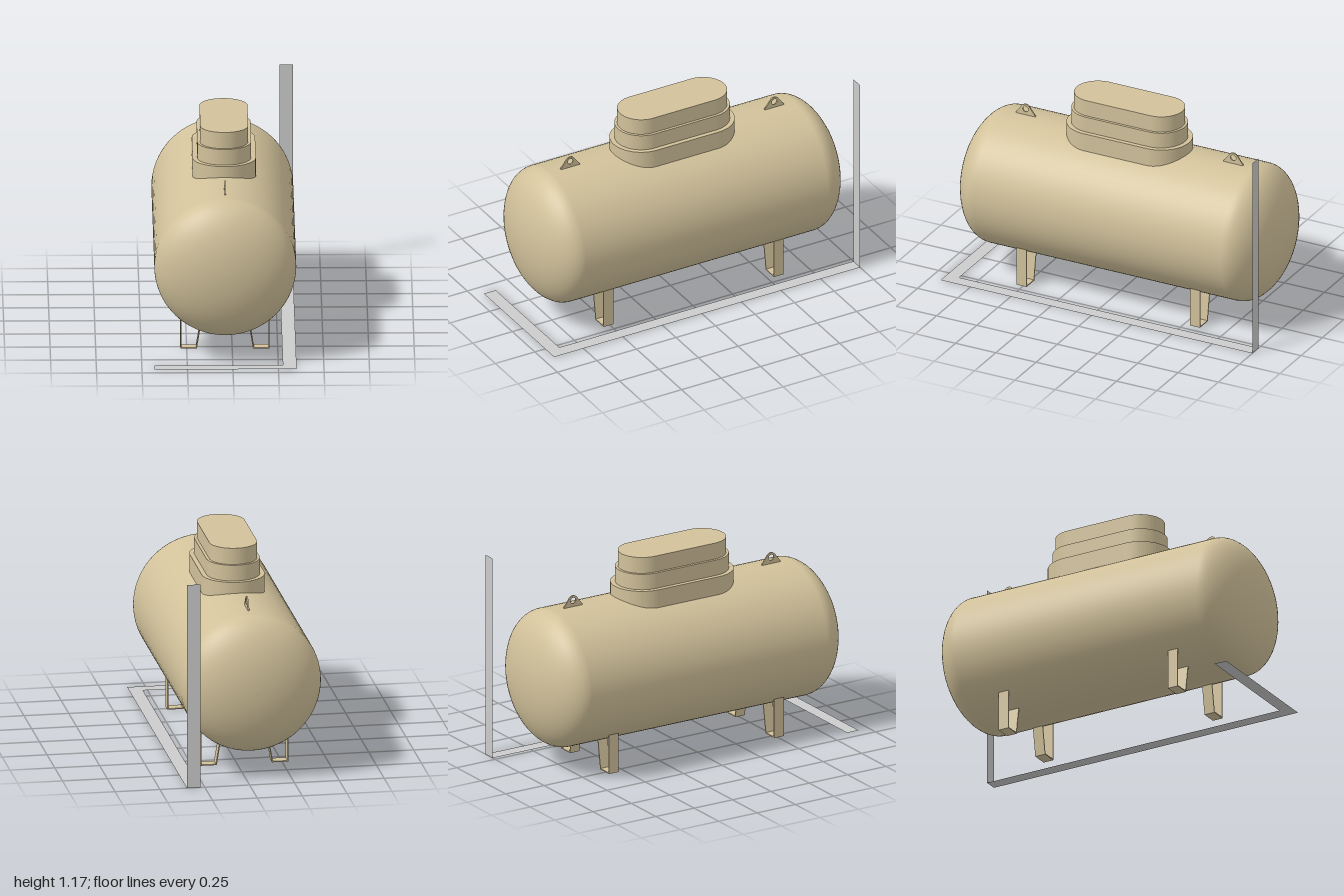
import * as THREE from 'three';

const CX = -0.04, CZ = -0.033; // tank axis
const CY = 0.53, R = 0.39, HALF = 0.967, CAP = 0.2;

export function createModel() {
  const root = new THREE.Group();
  const paint = new THREE.MeshStandardMaterial({ color: 0xd2c29b });
  const grey = new THREE.MeshStandardMaterial({ color: 0xcccccc, side: THREE.DoubleSide });
  const tank = new THREE.Group();
  tank.name = 'gasTank';
  tank.position.set(CX, 0, CZ);
  root.add(tank);

  const add = (parent, name, geometry, material) => {
    const mesh = new THREE.Mesh(geometry, material);
    mesh.name = name;
    parent.add(mesh);
    return mesh;
  };

  // Vessel: straight shell with two elliptical dished ends
  const profile = [];
  for (const end of [-1, 1]) {
    for (let i = 0; i <= 16; i++) {
      const a = (end < 0 ? i : 16 - i) / 16 * Math.PI / 2;
      profile.push(new THREE.Vector2(R * Math.sin(a), end * (HALF - CAP + CAP * Math.cos(a))));
    }
  }
  const vessel = add(tank, 'vessel', new THREE.LatheGeometry(profile, 72), paint);
  vessel.rotation.x = Math.PI / 2;
  vessel.position.y = CY;

  // Valve dome: three stepped tiers with rounded ends
  const tiers = [
    ['domeBase', 0.174, 0.37, 0.84, 0.983],
    ['domeCollar', 0.148, 0.343, 0.983, 1.073],
    ['domeLid', 0.132, 0.328, 1.073, 1.166],
  ];
  for (const [name, r, half, y0, y1] of tiers) {
    const s = new THREE.Shape();
    s.absarc(0, half - r, r, 0, Math.PI);
    s.absarc(0, r - half, r, Math.PI, Math.PI * 2);
    s.closePath();
    const geo = new THREE.ExtrudeGeometry(s, { depth: y1 - y0, bevelEnabled: false, curveSegments: 24 });
    geo.rotateX(-Math.PI / 2);
    add(tank, name, geo, paint).position.y = y0;
  }

  // Lifting lugs: rounded triangular plates with an eye
  const lug = new THREE.Shape();
  lug.moveTo(-0.06, -0.015);
  lug.lineTo(0.06, -0.015);
  lug.lineTo(0.06, 0.005);
  lug.absarc(0, 0.034, 0.03, 0.6, Math.PI - 0.6);
  lug.lineTo(-0.06, 0.005);
  lug.closePath();
  const eye = new THREE.Path();
  eye.absarc(0, 0.035, 0.017, 0, Math.PI * 2, true);
  lug.holes.push(eye);
  const lugGeo = new THREE.ExtrudeGeometry(lug, { depth: 0.008, bevelEnabled: false });
  lugGeo.translate(0, 0, -0.004).rotateY(Math.PI / 2);
  for (const side of [-1, 1]) {
    add(tank, 'liftingLug', lugGeo, paint).position.set(0, 0.92, side * 0.645);
  }

  // Legs: bent flat strap, upright outside and sloping inside
  const strap = new THREE.Shape([
    [0.245, 0.235], [0.245, 0], [0.154, 0], [0.126, 0.17],
    [0.132, 0.17], [0.159, 0.006], [0.239, 0.006], [0.239, 0.235],
  ].map(([x, y]) => new THREE.Vector2(x, y)));
  const legGeo = new THREE.ExtrudeGeometry(strap, { depth: 0.062, bevelEnabled: false });
  legGeo.translate(0, 0, -0.031);
  for (const z of [-0.535, 0.542]) {
    for (const turn of [0, Math.PI]) {
      const leg = add(tank, 'leg', legGeo, paint);
      leg.rotation.y = turn;
      leg.position.z = z;
    }
  }

  // Flat measuring strips: L on the ground and one upright at the back
  const ground = new THREE.Shape([
    [0.35, 1], [0.35, -0.935], [-0.43, -0.935], [-0.43, -0.86], [0.275, -0.86], [0.275, 1],
  ].map(([x, y]) => new THREE.Vector2(x, y)));
  const groundStrip = add(root, 'groundStrip', new THREE.ShapeGeometry(ground), grey);
  groundStrip.rotation.x = -Math.PI / 2;
  const upright = add(root, 'uprightStrip', new THREE.PlaneGeometry(0.075, 1.166), grey);
  upright.position.set(0.3125, 0.583, -1);

  return root;
}
